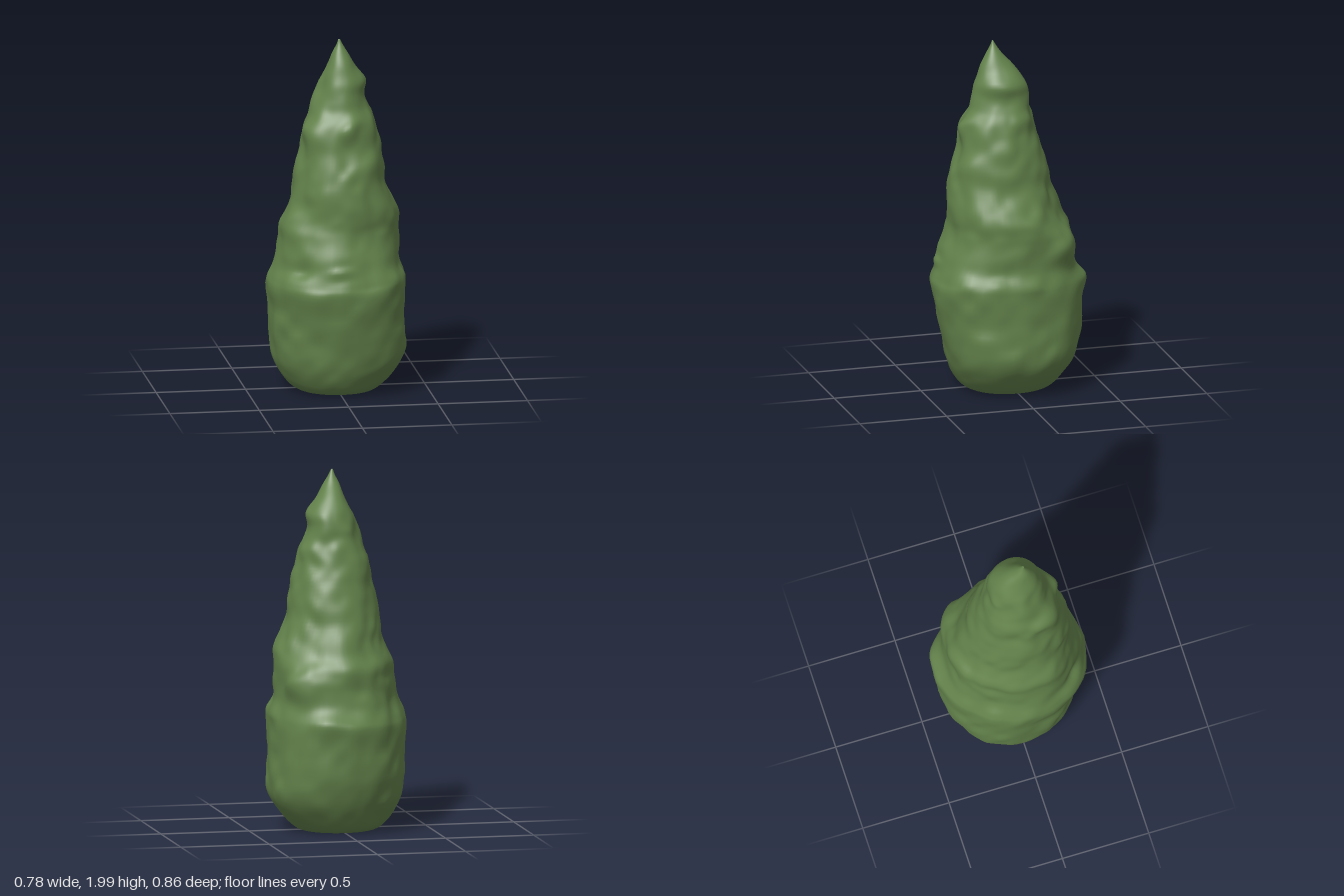
import * as THREE from 'three';

// Cross-section reach at each height: [y, -x, +x, +z, -z]
const PROFILE = [
  [0.012, -0.1, 0.1, 0.1, -0.1],
  [0.006, -0.19, 0.2, 0.21, -0.2],
  [0.03, -0.25, 0.25, 0.27, -0.26],
  [0.1, -0.31, 0.32, 0.32, -0.31],
  [0.2, -0.355, 0.38, 0.355, -0.365],
  [0.32, -0.37, 0.385, 0.38, -0.4],
  [0.46, -0.38, 0.375, 0.407, -0.41],
  [0.6, -0.39, 0.38, 0.437, -0.412],
  [0.66, -0.383, 0.38, 0.425, -0.393],
  [0.73, -0.36, 0.354, 0.405, -0.36],
  [0.8, -0.342, 0.348, 0.39, -0.348],
  [0.88, -0.328, 0.35, 0.36, -0.348],
  [0.95, -0.325, 0.355, 0.347, -0.343],
  [1.02, -0.295, 0.352, 0.35, -0.31],
  [1.1, -0.268, 0.322, 0.347, -0.285],
  [1.2, -0.253, 0.28, 0.337, -0.245],
  [1.3, -0.228, 0.267, 0.327, -0.21],
  [1.4, -0.203, 0.247, 0.29, -0.178],
  [1.5, -0.199, 0.23, 0.265, -0.16],
  [1.57, -0.168, 0.219, 0.25, -0.135],
  [1.63, -0.147, 0.19, 0.222, -0.113],
  [1.7, -0.117, 0.165, 0.206, -0.11],
  [1.77, -0.092, 0.16, 0.196, -0.087],
  [1.85, -0.056, 0.102, 0.17, -0.028],
  [1.92, -0.03, 0.06, 0.132, 0.035],
  [1.97, -0.005, 0.03, 0.105, 0.07],
  [2.0, 0.005, 0.015, 0.093, 0.087],
];

// Distinct boughs and hollows: [angle from +x towards +z, y, angular spread, height spread, reach]
const BOUGHS = [
  [-45, 0.82, 24, 0.1, 0.052],
  [-45, 1.06, 26, 0.12, -0.024],
  [-45, 0.4, 28, 0.28, 0.02],
  [225, 0.8, 32, 0.5, -0.028],
  [45, 0.45, 28, 0.35, 0.03],
  [135, 1.46, 24, 0.09, 0.025],
  [135, 0.92, 22, 0.08, 0.02],
  [135, 0.74, 20, 0.05, -0.025],
  [83, 1.51, 15, 0.065, 0.035],
  [-75, 0.62, 24, 0.06, 0.026],
  [93, 0.74, 9, 0.03, 0.02],
];
function boughReach(angle, y) {
  let sum = 0;
  for (const [dir, h, spread, tall, reach] of BOUGHS) {
    const turn = ((angle - dir + 540) % 360) - 180;
    sum += reach * Math.exp(-((turn / spread) ** 2) - ((y - h) / tall) ** 2);
  }
  return sum;
}

// Smooth seeded value noise for the leafy lumps
function hash(x, y, z) {
  const s = Math.sin(x * 127.1 + y * 311.7 + z * 74.7) * 43758.5453;
  return (s - Math.floor(s)) * 2 - 1;
}
function noise(x, y, z) {
  const c = [x, y, z].map(Math.floor);
  const [u, v, w] = [x - c[0], y - c[1], z - c[2]].map((t) => t * t * (3 - 2 * t));
  let sum = 0;
  for (let i = 0; i < 8; i++) {
    const a = i & 1, b = (i >> 1) & 1, d = i >> 2;
    sum += hash(c[0] + a, c[1] + b, c[2] + d) * (a ? u : 1 - u) * (b ? v : 1 - v) * (d ? w : 1 - w);
  }
  return sum;
}

function foliageGeometry(rings = 130, sides = 80) {
  const curve = (a, b) => new THREE.CatmullRomCurve3(
    PROFILE.map((p) => new THREE.Vector3(p[0], p[a], p[b])), false, 'catmullrom', 0.5);
  const xs = curve(1, 2), zs = curve(3, 4);
  const pos = [], index = [];

  for (let r = 0; r <= rings; r++) {
    const px = xs.getPoint(r / rings), pz = zs.getPoint(r / rings);
    const y = px.x;
    const cx = (px.y + px.z) / 2, rx = (px.z - px.y) / 2;
    const cz = (pz.y + pz.z) / 2, rz = (pz.y - pz.z) / 2;
    const fade = Math.min(1, y / 0.15) * Math.min(1, (2 - y) / 0.3);
    for (let s = 0; s < sides; s++) {
      const a = (s / sides) * Math.PI * 2;
      const c = Math.cos(a), d = Math.sin(a);
      // slightly squared oval with lumps and boughs pushed outward
      const full = 1 / Math.pow(Math.abs(c) ** 2.1 + Math.abs(d) ** 2.1, 1 / 2.1);
      const nx = c * rx, nz = d * rz;
      const lump = fade * (0.01 * noise(nx * 7 + 5, y * 6, nz * 7 + 9)
        + 0.009 * noise(nx * 14 + 31, y * 12, nz * 14 + 17)
        + boughReach((s / sides) * 360, y) - 0.006);
      pos.push(cx + c * (rx * full + lump), y + lump * 0.5 * fade, cz + d * (rz * full + lump));
    }
  }
  for (let r = 0; r < rings; r++) {
    for (let s = 0; s < sides; s++) {
      const a = r * sides + s, b = r * sides + (s + 1) % sides;
      index.push(a, a + sides, b, b, a + sides, b + sides);
    }
  }
  // tip and slightly hollow underside
  const tip = pos.length / 3;
  pos.push(0.01, 2, 0.09, 0, 0.018, 0);
  for (let s = 0; s < sides; s++) {
    const n = (s + 1) % sides;
    index.push(tip, rings * sides + n, rings * sides + s, tip + 1, s, n);
  }
  const geo = new THREE.BufferGeometry();
  geo.setAttribute('position', new THREE.Float32BufferAttribute(pos, 3));
  geo.setIndex(index);
  geo.computeVertexNormals();
  return geo;
}

export function createModel() {
  const group = new THREE.Group();
  group.name = 'coniferShrub';
  const leafGreen = new THREE.MeshStandardMaterial({ color: 0x63824b });
  leafGreen.name = 'leafGreen';
  const foliage = new THREE.Mesh(foliageGeometry(), leafGreen);
  foliage.name = 'foliage';
  group.add(foliage);
  return group;
}
